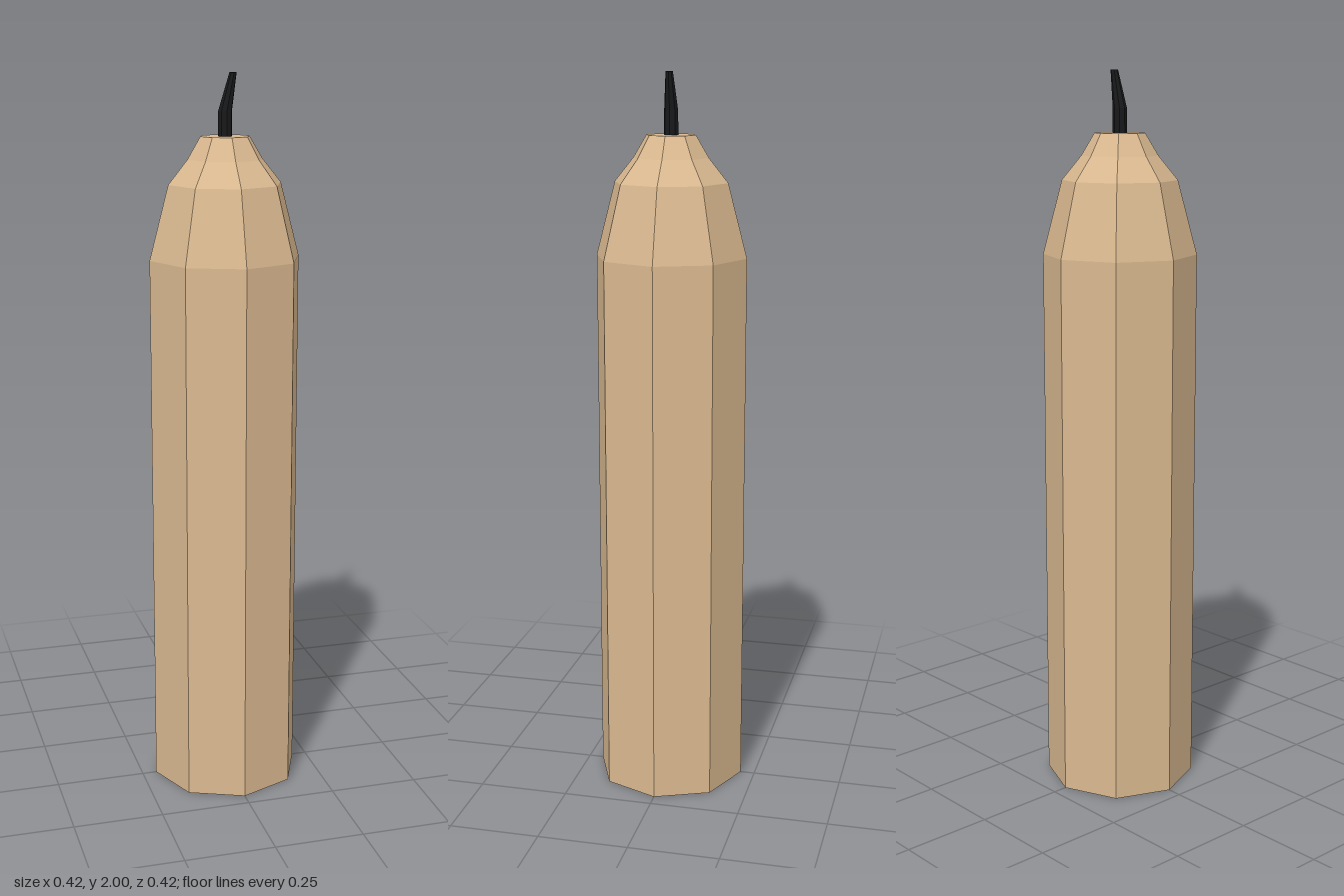
import * as THREE from 'three';

const SIDES = 8;

// Flat-shaded octagonal body of revolution from [radius, height] pairs
function turned(name, profile, material) {
  const points = profile.map(([r, y]) => new THREE.Vector2(r, y));
  const mesh = new THREE.Mesh(new THREE.LatheGeometry(points, SIDES), material);
  mesh.name = name;
  return mesh;
}

export function createModel() {
  const wax = new THREE.MeshStandardMaterial({ color: 0xdab990, flatShading: true });
  wax.name = 'tan wax';
  const char = new THREE.MeshStandardMaterial({ color: 0x18191a, flatShading: true });
  char.name = 'charred black';

  const group = new THREE.Group();
  group.name = 'candle';

  // Straight shaft with a stepped, melted shoulder
  group.add(turned('candleBody', [
    [0, 0], [0.21, 0], [0.21, 1.51], [0.157, 1.71],
    [0.104, 1.775], [0.068, 1.835], [0, 1.835],
  ], wax));

  // Wick: upright at the base, leaning to the left above the bend
  const wick = turned('wick', [
    [0, 1.83], [0.02, 1.83], [0.019, 1.9], [0.01, 2], [0, 2],
  ], char);
  const pos = wick.geometry.attributes.position;
  for (let i = 0; i < pos.count; i++) {
    const lean = Math.max(0, pos.getY(i) - 1.9) * 0.22;
    pos.setX(i, pos.getX(i) + lean);
  }
  wick.geometry.computeVertexNormals();
  group.add(wick);

  return group;
}
